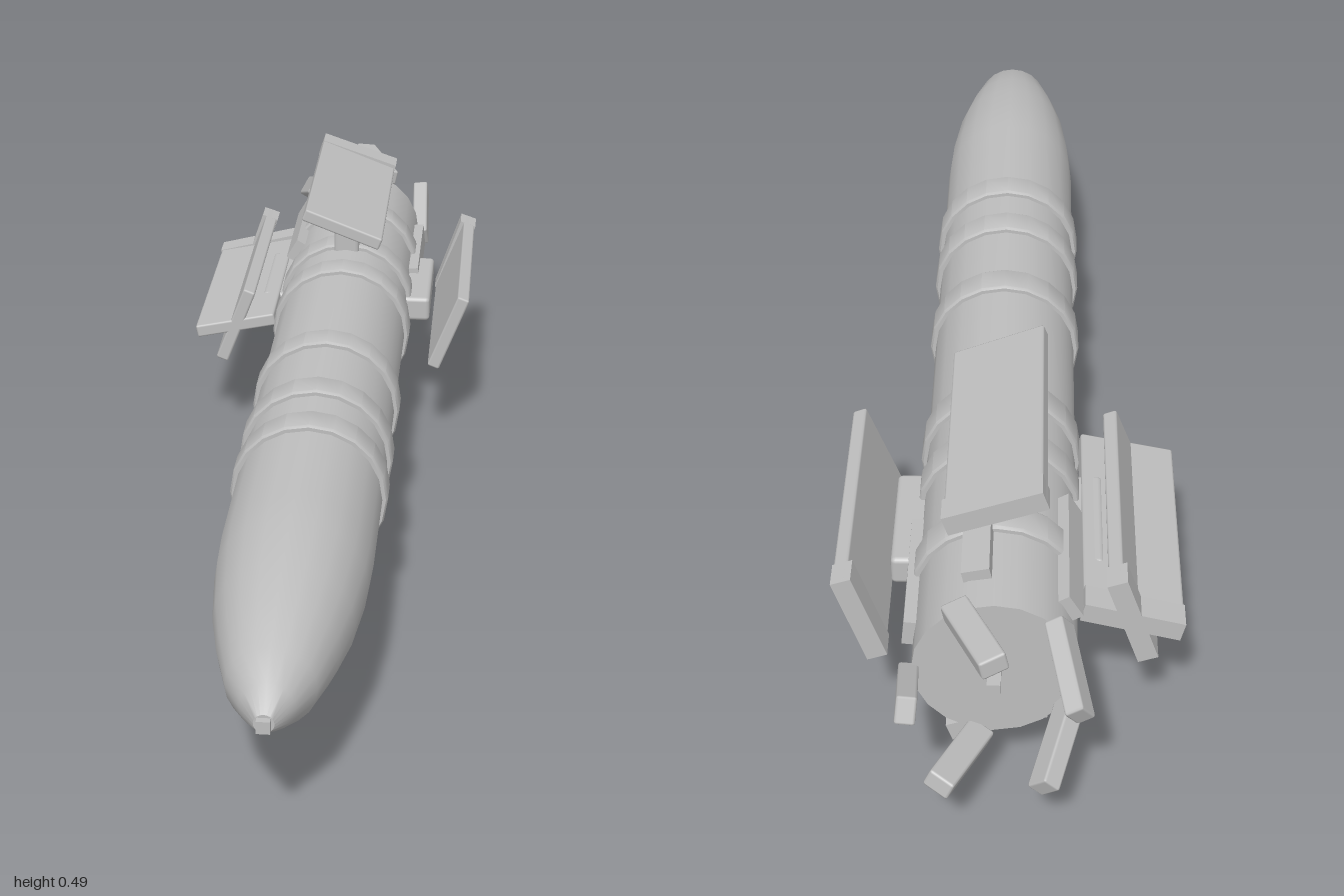
import * as THREE from 'three';
import { RoundedBoxGeometry } from 'three/addons/geometries/RoundedBoxGeometry.js';
import { toCreasedNormals } from 'three/addons/utils/BufferGeometryUtils.js';

const CX = 0.012, CY = 0.25; // long axis of the body
const SIDES = 20;

export function createModel() {
  const model = new THREE.Group();
  const grey = new THREE.MeshStandardMaterial({ color: 0xbebebe });
  grey.name = 'light grey';

  const body = new THREE.Group();
  body.name = 'rocket';
  body.position.set(CX, CY, 0);
  model.add(body);

  const add = (name, geometry, parent = body) => {
    const mesh = new THREE.Mesh(geometry, grey);
    mesh.name = name;
    parent.add(mesh);
    return mesh;
  };

  // Turned part along z, from [radius, z] pairs running back to front
  const turned = (name, profile) => {
    const points = profile.map(([r, z]) => new THREE.Vector2(r, z));
    const geometry = new THREE.LatheGeometry(points, SIDES);
    geometry.rotateX(Math.PI / 2);
    return add(name, toCreasedNormals(geometry, 0.6));
  };

  // Group turned about the long axis, so that its +x points outward
  const spoke = (name, degrees) => {
    const group = new THREE.Group();
    group.name = name;
    group.rotation.z = THREE.MathUtils.degToRad(degrees);
    body.add(group);
    return group;
  };

  // Hull with pointed nose and flat tail
  turned('hull', [
    [0, -0.86], [0.121, -0.86], [0.121, 0.55], [0.118, 0.62], [0.106, 0.73],
    [0.09, 0.81], [0.066, 0.9], [0.04, 0.95], [0.015, 0.99], [0, 0.99],
  ]);
  const tip = add('noseTip', new THREE.BoxGeometry(0.02, 0.02, 0.02));
  tip.position.z = 0.99;
  const tail = add('tailStub', new THREE.BoxGeometry(0.02, 0.02, 0.05));
  tail.position.z = -0.88;

  // Raised bands
  for (const z of [0.312, 0.182, -0.013, -0.34, -0.47, -0.666]) {
    turned('band', [
      [0.119, z - 0.03], [0.127, z - 0.03], [0.13, z - 0.025],
      [0.13, z + 0.025], [0.127, z + 0.03], [0.119, z + 0.03],
    ]);
  }

  // Flat panel with a rear bar, centred at a distance from the axis
  const panel = (parent, lean) => {
    const group = new THREE.Group();
    group.name = 'panel';
    group.position.x = 0.204;
    group.rotation.z = THREE.MathUtils.degToRad(lean);
    parent.add(group);
    const plate = add('panelPlate', new RoundedBoxGeometry(0.024, 0.155, 0.43, 1, 0.004), group);
    plate.position.z = -0.54;
    const bar = add('panelRearBar', new THREE.BoxGeometry(0.032, 0.155, 0.045), group);
    bar.position.z = -0.735;
    bar.rotation.z = 0.04;
  };

  // Four mounts, each with a leaning panel standing off it
  for (let i = 0; i < 4; i++) {
    const side = spoke('panelAssembly', i * 90);
    const mount = add('mount', new RoundedBoxGeometry(0.063, 0.048, 0.214, 2, 0.008), side);
    mount.position.set(0.132, 0, -0.54);
    panel(side, -21);
  }
  // Second panel crossing the one on the -x side
  panel(spoke('crossedPanel', 180), 102);

  // Five slanted tail vanes and the strips ahead of them
  for (let i = 0; i < 5; i++) {
    const side = spoke('vaneAssembly', 6 + i * 72);
    const vane = add('tailVane', new RoundedBoxGeometry(0.03, 0.042, 0.148, 1, 0.004), side);
    vane.position.set(0.124, 0, -0.925);
    vane.rotation.x = 0.42;
    const strip = add('tailStrip', new THREE.BoxGeometry(0.03, 0.042, 0.24), side);
    strip.position.set(0.122, 0, -0.68);
  }

  return model;
}
